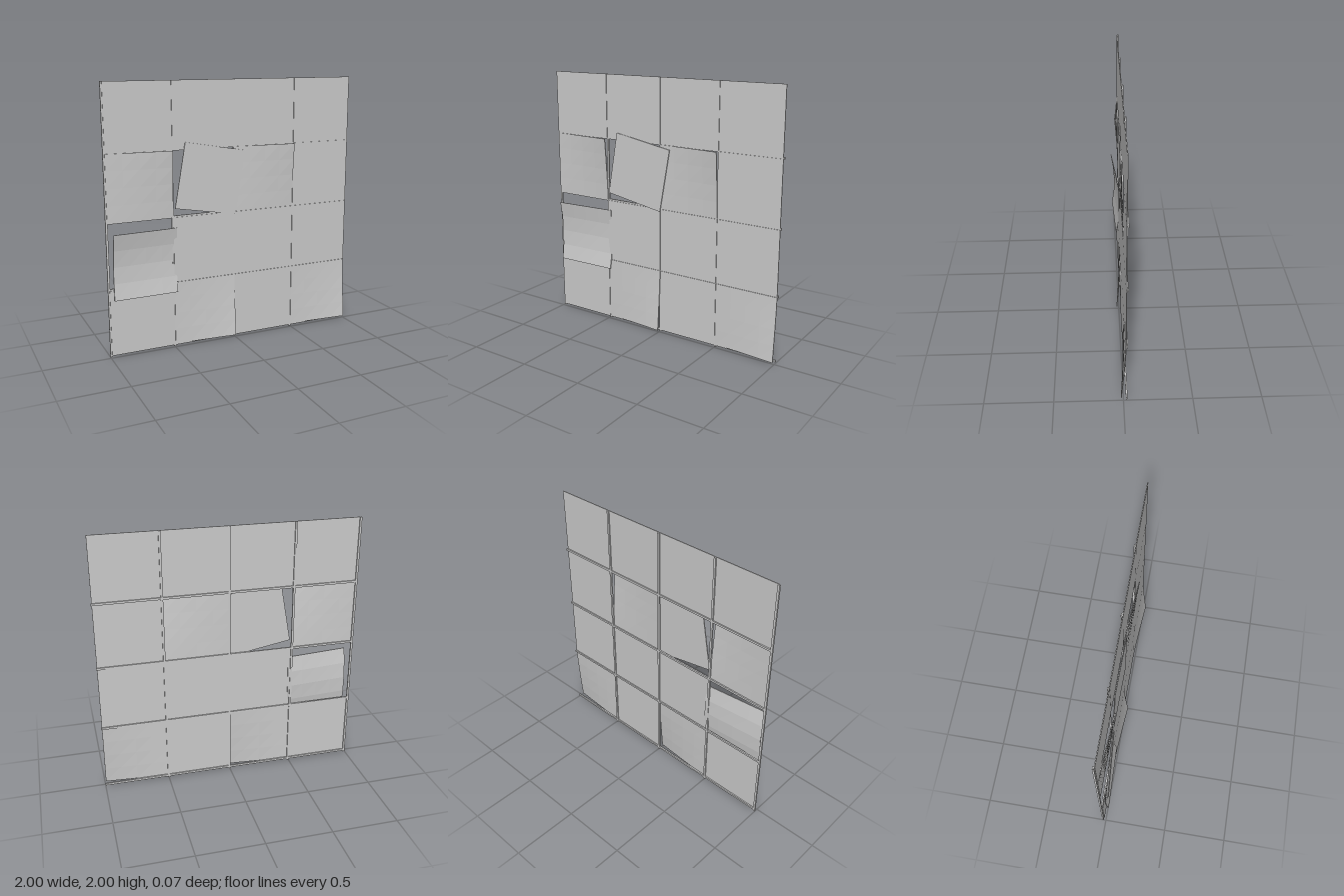
import * as THREE from 'three';

const PITCH = 0.497, SIZE = 0.491, THICK = 0.007, BAR = 0.016;
const TILE_Z = -0.017, BAR_Z = -0.024;
const FLAT = () => 0;

// Forward curl of one corner; sv picks the upper (+1) or lower (-1) right corner
const curl = (sv) => (u, v) => 0.033 * Math.pow(((1 + u) / 2) * ((1 + sv * v) / 2), 1.3);
// Buckled sheet: top and bottom edges lean forward, right side sinks back
const buckle = (u, v) => -0.01 + 0.024 * v * v - u * (0.016 + 0.006 * v);

export function createModel() {
  const group = new THREE.Group();
  const material = new THREE.MeshStandardMaterial({ color: 0xcccccc, flatShading: true });

  function addBox(name, w, h, d, x, y, z) {
    const mesh = new THREE.Mesh(new THREE.BoxGeometry(w, h, d), material);
    mesh.name = name;
    mesh.position.set(x, y, z);
    group.add(mesh);
  }

  // Thin square tile, its z displaced by bend(u, v) with u, v in -1..1
  function addTile(name, x, y, z, bend = FLAT, angle = 0) {
    const seg = bend === FLAT ? 1 : 4;
    const geometry = new THREE.BoxGeometry(SIZE, SIZE, THICK, seg, seg, 1);
    const p = geometry.attributes.position;
    for (let i = 0; i < p.count; i++) {
      p.setZ(i, p.getZ(i) + bend((2 * p.getX(i)) / SIZE, (2 * p.getY(i)) / SIZE));
    }
    geometry.computeVertexNormals();
    const mesh = new THREE.Mesh(geometry, material);
    mesh.name = name;
    mesh.position.set(x, y, z);
    mesh.rotation.z = angle;
    group.add(mesh);
  }

  // Grid bars along the left and lower edge of every cell
  for (let i = 0; i < 4; i++) {
    addBox('verticalBar', BAR, 2, 0.012, -0.992 + i * PITCH, 1, BAR_Z);
    addBox('horizontalBar', 1.99, BAR, 0.012, 0.005, 0.017 + i * PITCH, BAR_Z);
  }

  // Tiles, rows counted from the bottom; curled ones are listed by column,row
  const curled = { '0,2': 1, '2,2': 1, '1,0': -1, '3,0': -1 };
  for (let row = 0; row < 4; row++) {
    for (let col = 0; col < 4; col++) {
      const key = `${col},${row}`;
      if (key === '0,1' || key === '1,2') continue;
      const x = -0.743 + col * PITCH, y = 0.264 + row * PITCH;
      if (curled[key]) addTile('curledTile', x, y, TILE_Z, curl(curled[key]));
      else addTile('tile', x, y, TILE_Z);
    }
  }

  // Two tiles that have come loose
  addTile('twistedTile', -0.196, 1.273, -0.007, FLAT, -0.175);
  addTile('buckledTile', -0.716, 0.686, 0, buckle, -0.01);

  return group;
}
